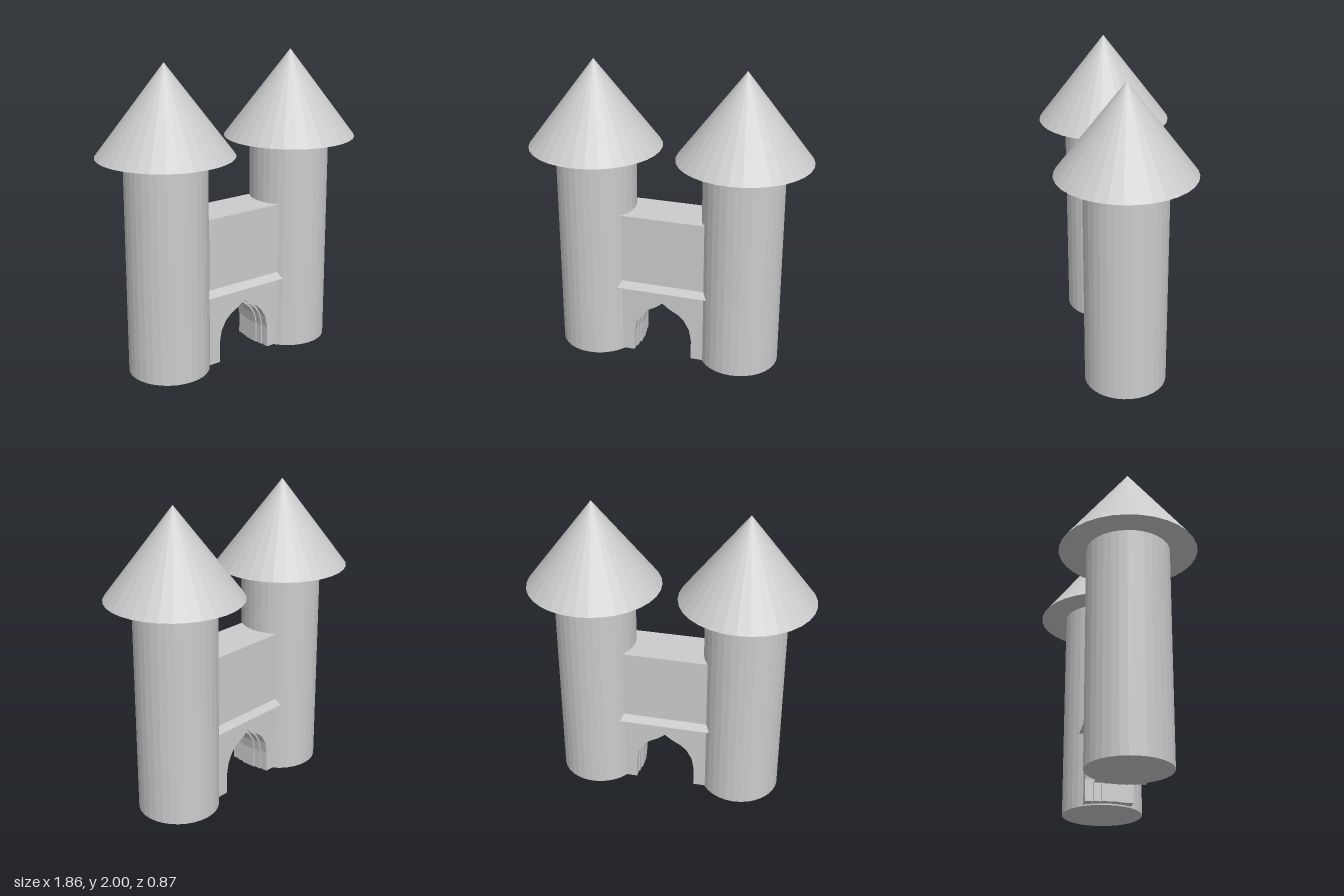
import * as THREE from 'three';

const mat = new THREE.MeshStandardMaterial({ color: 0xcccccc, flatShading: true });

function add(parent, name, geometry, x, y, z) {
  const mesh = new THREE.Mesh(geometry, mat);
  mesh.name = name;
  mesh.position.set(x, y, z);
  parent.add(mesh);
  return mesh;
}

// Half of the pointed arch, from foot to apex
const ARCH = [[0.2, 0.01], [0.2, 0.15], [0.185, 0.23], [0.148, 0.296], [0.106, 0.333], [0.048, 0.365], [0, 0.402]];

// Wall slab with an arched gap; inset narrows the opening
function archSlab(inset, z0, z1) {
  const half = ARCH.map(([x, y], i) => [
    i === ARCH.length - 1 ? 0 : x - inset * (x > 0.1 ? 1 : 0.5),
    i < 2 ? y : y - inset * Math.min(1, (i - 1) / 2),
  ]);
  const outline = [
    [-0.28, 0.01],
    ...half.map(([x, y]) => [-x, y]),
    ...half.slice(0, -1).reverse(),
    [0.28, 0.01], [0.28, 0.5], [-0.28, 0.5],
  ];
  const shape = new THREE.Shape(outline.map(([x, y]) => new THREE.Vector2(x, y)));
  const geo = new THREE.ExtrudeGeometry(shape, { depth: z1 - z0, bevelEnabled: false });
  return geo.translate(0, 0, z0);
}

// Four-sided ledge whose top is smaller than its base
function ledgeGeometry() {
  const geo = new THREE.BoxGeometry(0.61, 0.045, 0.37);
  const p = geo.attributes.position;
  for (let i = 0; i < p.count; i++) {
    if (p.getY(i) > 0) {
      p.setX(i, Math.sign(p.getX(i)) * 0.28);
      p.setZ(i, Math.sign(p.getZ(i)) * 0.155);
    }
  }
  geo.computeVertexNormals();
  return geo;
}

export function createModel() {
  const model = new THREE.Group();
  model.name = 'gatehouse';

  // Round towers with conical roofs
  for (const [side, s] of [['left', 1], ['right', -1]]) {
    const tower = new THREE.Group();
    tower.name = side + 'Tower';
    tower.position.x = s * 0.495;
    add(tower, side + 'TowerShaft', new THREE.CylinderGeometry(0.263, 0.263, 1.425, 32), 0, 0.7125, 0);
    add(tower, side + 'TowerRoof', new THREE.ConeGeometry(0.436, 0.575, 32), 0, 1.7125, 0);
    model.add(tower);
  }

  // Gate wall: stepped archway, ledge and upper block
  const gate = new THREE.Group();
  gate.name = 'gate';
  const steps = [0.155, 0.1, 0.05];
  for (const s of [1, -1]) {
    for (let i = 0; i < 2; i++) {
      const [a, b] = [s * steps[i], s * steps[i + 1]];
      add(gate, 'archwayStep', archSlab(i * 0.008, Math.min(a, b), Math.max(a, b)), 0, 0, 0);
    }
  }
  add(gate, 'archwayCore', archSlab(0.016, -0.05, 0.05), 0, 0, 0);
  add(gate, 'ledge', ledgeGeometry(), 0, 0.5125, 0);
  add(gate, 'upperWall', new THREE.BoxGeometry(0.56, 0.49, 0.31), 0, 0.765, 0);
  model.add(gate);

  return model;
}
